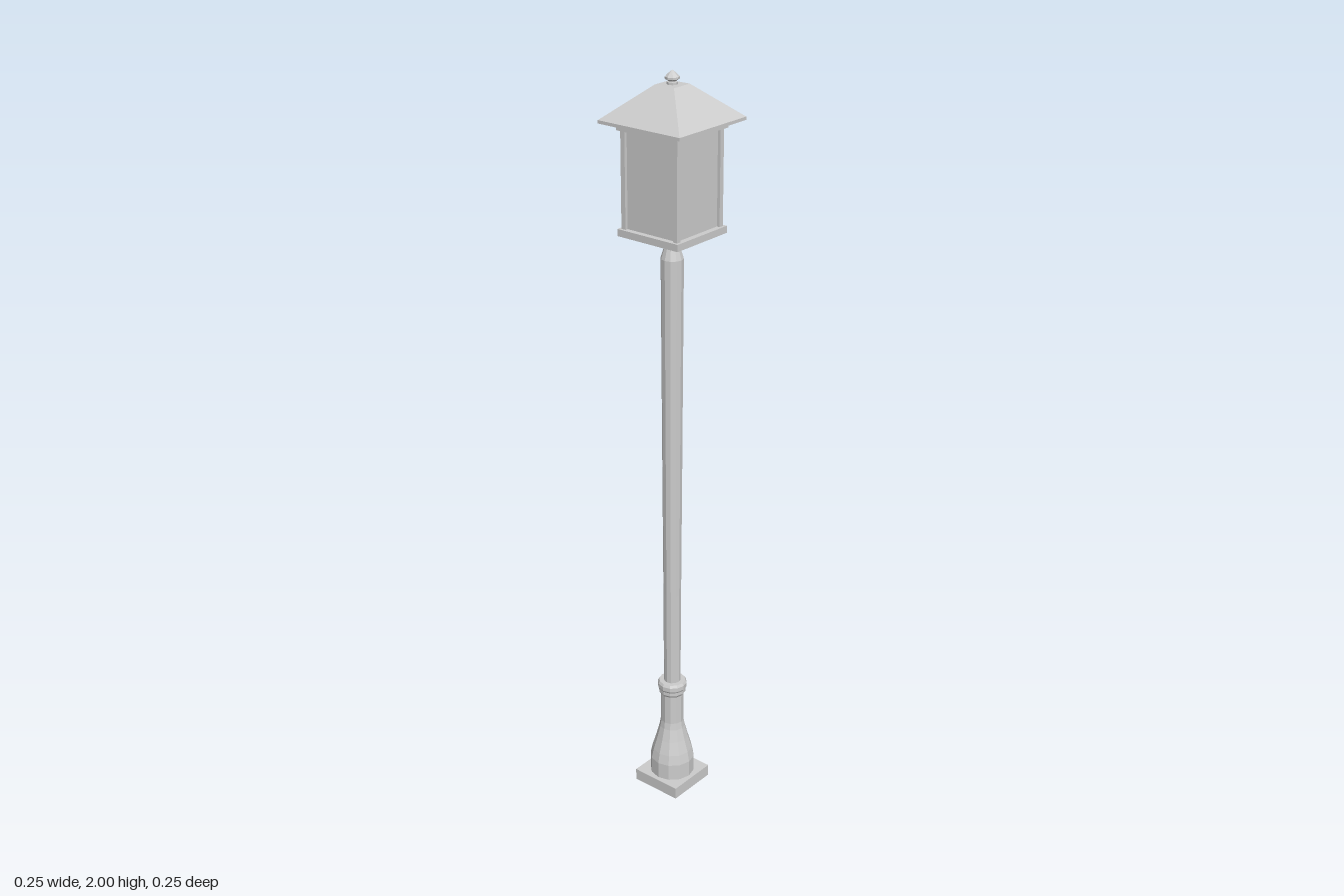
import * as THREE from 'three';

export function createModel() {
  const model = new THREE.Group();
  const metal = new THREE.MeshStandardMaterial({ color: 0xcccccc, flatShading: true });
  metal.name = 'grey metal';

  function add(name, geometry, x = 0, y = 0, z = 0) {
    const mesh = new THREE.Mesh(geometry, metal);
    mesh.name = name;
    mesh.position.set(x, y, z);
    model.add(mesh);
    return mesh;
  }
  // square slab or frustum given half widths and heights
  function square(name, bottom, top, y0, y1) {
    const g = new THREE.CylinderGeometry(top * Math.SQRT2, bottom * Math.SQRT2, y1 - y0, 4);
    g.rotateY(Math.PI / 4);
    return add(name, g, 0, (y0 + y1) / 2, 0);
  }
  // turned part from [radius, height] pairs
  function turned(name, points, sides) {
    return add(name, new THREE.LatheGeometry(points.map(p => new THREE.Vector2(...p)), sides));
  }

  // foot and post
  square('basePlate', 0.072, 0.072, 0, 0.033);
  turned('flaredBase', [[0, 0.033], [0.061, 0.033], [0.061, 0.08], [0.055, 0.108], [0.044, 0.145],
    [0.035, 0.18], [0.032, 0.2], [0.032, 0.29]], 12);
  turned('collar', [[0.032, 0.286], [0.037, 0.293], [0.037, 0.303], [0.04, 0.308], [0.04, 0.32],
    [0.036, 0.327], [0, 0.327]], 12);
  turned('pole', [[0.023, 0.32], [0.024, 0.6], [0.026, 0.95], [0.028, 1.36], [0.029, 1.54],
    [0.019, 1.572], [0.019, 1.602]], 12);

  // lantern
  square('lanternFloor', 0.094, 0.094, 1.6, 1.618);
  square('lanternPanes', 0.079, 0.079, 1.618, 1.862);
  const postSize = 0.013, postOffset = 0.0805;
  for (const x of [-1, 1]) for (const z of [-1, 1]) {
    add('cornerPost', new THREE.BoxGeometry(postSize, 0.244, postSize), x * postOffset, 1.74, z * postOffset);
  }
  square('lanternTopTrim', 0.094, 0.094, 1.86, 1.878);

  // roof
  square('eaves', 0.124, 0.124, 1.877, 1.885);
  square('roof', 0.124, 0.029, 1.885, 1.966);

  // finial
  turned('finial', [[0.013, 1.966], [0.013, 1.972], [0.01, 1.974], [0.018, 1.979], [0.018, 1.984],
    [0.009, 1.993], [0, 2]], 8);
  return model;
}
